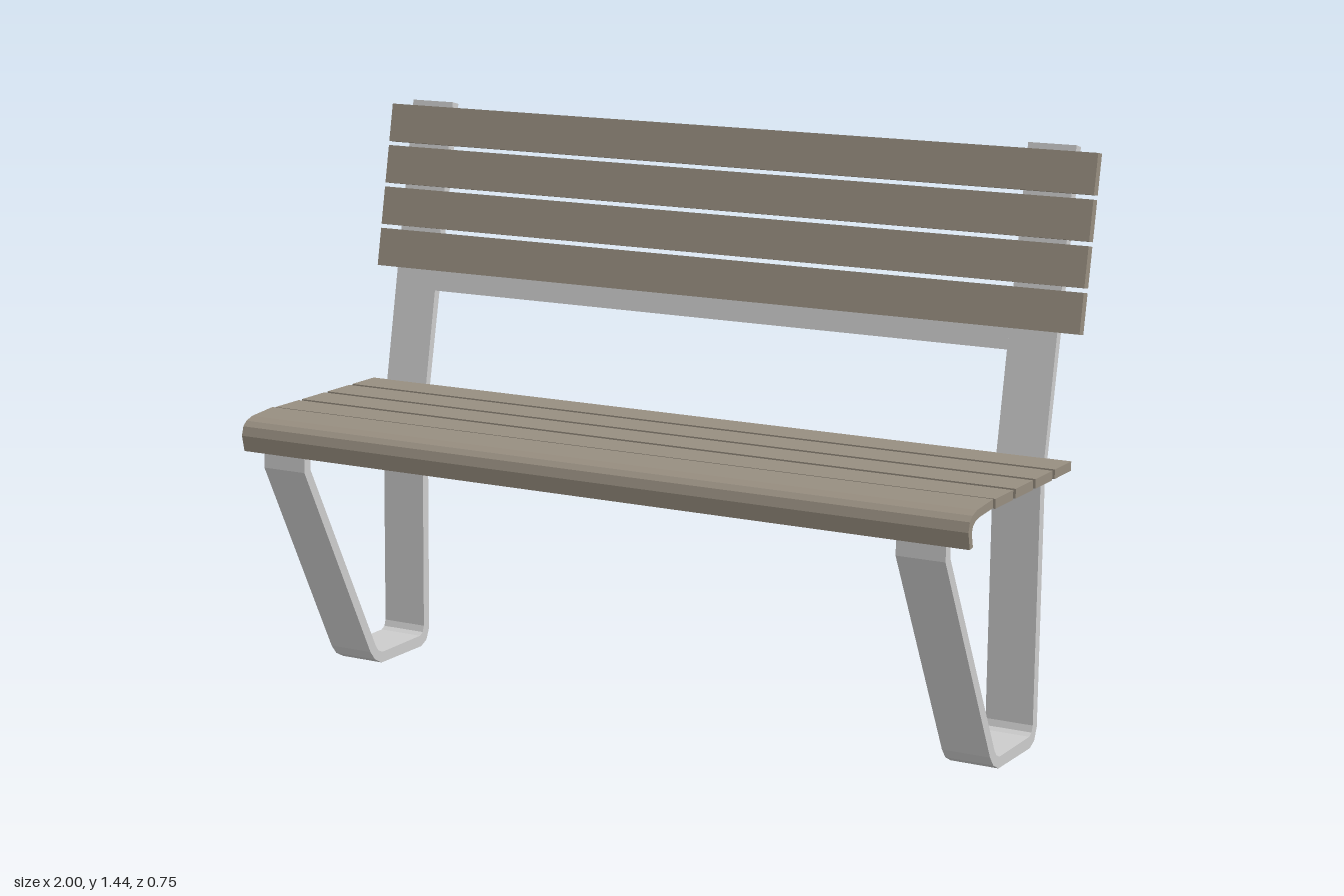
import * as THREE from 'three';

const metal = new THREE.MeshStandardMaterial({ color: 0xcccccc });
const wood = new THREE.MeshStandardMaterial({ color: 0x978e80 });

const toPoints = (list) => list.map(([z, y]) => new THREE.Vector2(z, y));

// Extrudes a side profile of [z, y] points along x, centred on the given x.
// A hole is listed in the same direction as the profile and reversed here.
function sideExtrude(name, profile, width, x, material, hole) {
  const shape = new THREE.Shape(toPoints(profile));
  if (hole) shape.holes.push(new THREE.Path(toPoints(hole).reverse()));
  const geometry = new THREE.ExtrudeGeometry(shape, { depth: width, bevelEnabled: false });
  geometry.translate(0, 0, -width / 2).rotateY(-Math.PI / 2);
  const mesh = new THREE.Mesh(geometry, material);
  mesh.name = name;
  mesh.position.x = x;
  return mesh;
}

// Flat-bar side frame: leg loop with chamfered bends and a leaning back post
const frameOutline = [
  [-0.196, 0.674], [0.305, 0.678], [0.328, 0.664], [0.342, 0.634], [0.345, 0.577],
  [0.075, 0.043], [0.055, 0.018], [0.025, 0.002], [-0.16, 0], [-0.185, 0.012], [-0.199, 0.043],
  [-0.209, 0.645], [-0.375, 1.43], [-0.348, 1.437],
];
const frameOpening = [
  [-0.184, 0.65], [0.298, 0.654], [0.312, 0.643], [0.318, 0.623], [0.32, 0.582],
  [0.05, 0.053], [0.038, 0.038], [0.02, 0.03], [-0.155, 0.03], [-0.168, 0.037], [-0.174, 0.053],
];

// Front seat board with its turned-down lip
const frontBoard = [
  [0.245, 0.71], [0.33, 0.703], [0.355, 0.695], [0.368, 0.683], [0.375, 0.66], [0.366, 0.619],
  [0.349, 0.622], [0.357, 0.655], [0.351, 0.67], [0.338, 0.679], [0.315, 0.684], [0.245, 0.689],
];

// Front face of the leaning post at height y
const postFront = (y) => -0.196 - (y - 0.674) * 0.199;

export function createModel() {
  const bench = new THREE.Group();
  bench.name = 'bench';

  bench.add(
    sideExtrude('rightFrame', frameOutline, 0.124, -0.893, metal, frameOpening),
    sideExtrude('leftFrame', frameOutline, 0.124, 0.87, metal, frameOpening),
  );

  // Rail joining the two back posts
  const rail = [
    [postFront(0.95), 0.95], [postFront(1.04), 1.04],
    [postFront(1.04) - 0.022, 1.04], [postFront(0.95) - 0.022, 0.95],
  ];
  bench.add(sideExtrude('backRail', rail, 1.64, -0.0115, metal));

  // Seat
  bench.add(sideExtrude('frontSeatBoard', frontBoard, 2, 0, wood));
  for (let i = 0; i < 4; i++) {
    const slat = new THREE.Mesh(new THREE.BoxGeometry(2, 0.023, 0.098), wood);
    slat.name = 'seatSlat';
    slat.position.set(0, 0.696, 0.182 - i * 0.1125);
    bench.add(slat);
  }

  // Backrest slats resting against the leaning posts
  const lean = Math.atan(0.199);
  for (let i = 0; i < 4; i++) {
    const slat = new THREE.Mesh(new THREE.BoxGeometry(2, 0.099, 0.024), wood);
    slat.name = 'backSlat';
    const y = 1.053 + i * 0.1077;
    slat.position.set(0, y, postFront(y) + 0.017);
    slat.rotation.x = -lean;
    bench.add(slat);
  }
  return bench;
}
